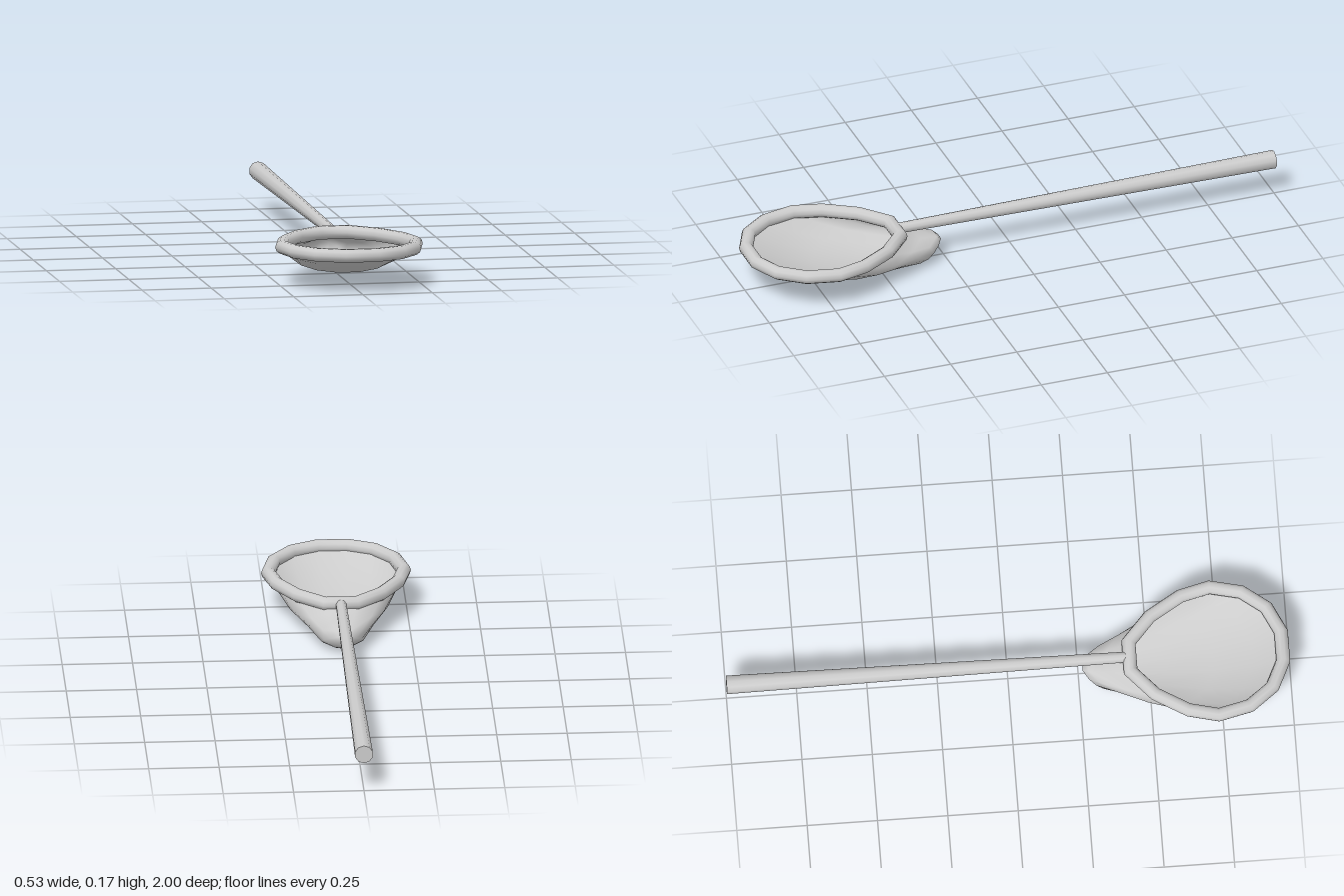
import * as THREE from 'three';

const RIM_Y = 0.14, BACK = 0.433, FRONT = 0.975;

// Half of the hoop centreline as [x, z], front to back
const half = [[0.055, 0.975], [0.15, 0.93], [0.215, 0.845], [0.241, 0.733],
  [0.215, 0.628], [0.147, 0.515], [0.055, BACK]];
const hoop = [...half, ...half.slice().reverse().map(([x, z]) => [-x, z])];

// Smooth skin over a grid of points: rows of equal length, each row closed
function skin(rows, closeRows) {
  const n = rows[0].length, m = rows.length, index = [];
  for (let i = 0; i < (closeRows ? m : m - 1); i++) {
    for (let j = 0; j < n; j++) {
      const a = i * n + j, b = i * n + (j + 1) % n;
      const c = ((i + 1) % m) * n + j, d = ((i + 1) % m) * n + (j + 1) % n;
      index.push(a, c, b, b, c, d);
    }
  }
  const g = new THREE.BufferGeometry();
  g.setAttribute('position', new THREE.Float32BufferAttribute(rows.flat(2), 3));
  g.setIndex(index);
  g.computeVertexNormals();
  return g;
}

// Round tube mitred at every corner of the hoop
function hoopGeometry(radius, sides) {
  const n = hoop.length;
  const rows = hoop.map(([x, z], i) => {
    const [px, pz] = hoop[(i + n - 1) % n], [qx, qz] = hoop[(i + 1) % n];
    const d1 = new THREE.Vector2(x - px, z - pz).normalize();
    const d2 = new THREE.Vector2(qx - x, qz - z).normalize();
    const t = d1.clone().add(d2).normalize();
    const miter = radius / t.dot(d2);
    return Array.from({ length: sides }, (_, j) => {
      const a = (j / sides) * Math.PI * 2, o = Math.cos(a) * miter;
      return [x - t.y * o, RIM_Y + Math.sin(a) * radius, z + t.x * o];
    });
  });
  return skin(rows, true);
}

// Bag sections: [back z, back y, front z, front y, width factor]
const sections = [
  [BACK, RIM_Y, FRONT, RIM_Y, 1],
  [0.395, 0.116, 0.87, 0.09, 0.88],
  [0.35, 0.105, 0.73, 0.042, 0.72],
  [0.285, 0.094, 0.56, 0.018, 0.48],
  [0.265, 0.078, 0.39, 0.003, 0.31],
  [0.268, 0.055, 0.33, 0.01, 0.14],
  [0.285, 0.03, 0.285, 0.03, 0],
];

function bagGeometry() {
  return skin(sections.map(([bz, by, fz, fy, w]) => hoop.map(([x, z]) => {
    const t = (z - BACK) / (FRONT - BACK);
    return [x * w, by + (fy - by) * t, bz + (fz - bz) * t];
  })), false);
}

export function createModel() {
  const group = new THREE.Group();
  const grey = new THREE.MeshStandardMaterial({ color: 0xcccccc });
  const cloth = new THREE.MeshStandardMaterial({ color: 0xcccccc, side: THREE.DoubleSide });
  const add = (name, geometry, material) => {
    const mesh = new THREE.Mesh(geometry, material);
    mesh.name = name;
    group.add(mesh);
    return mesh;
  };

  add('hoop', hoopGeometry(0.0245, 10), grey);
  add('netBag', bagGeometry(), cloth);

  // Tapered handle, thicker toward the free end
  const handle = add('handle', new THREE.CylinderGeometry(0.033, 0.019, 1.42, 10).rotateX(-Math.PI / 2), grey);
  handle.position.set(0, 0.141, -0.29);
  return group;
}
